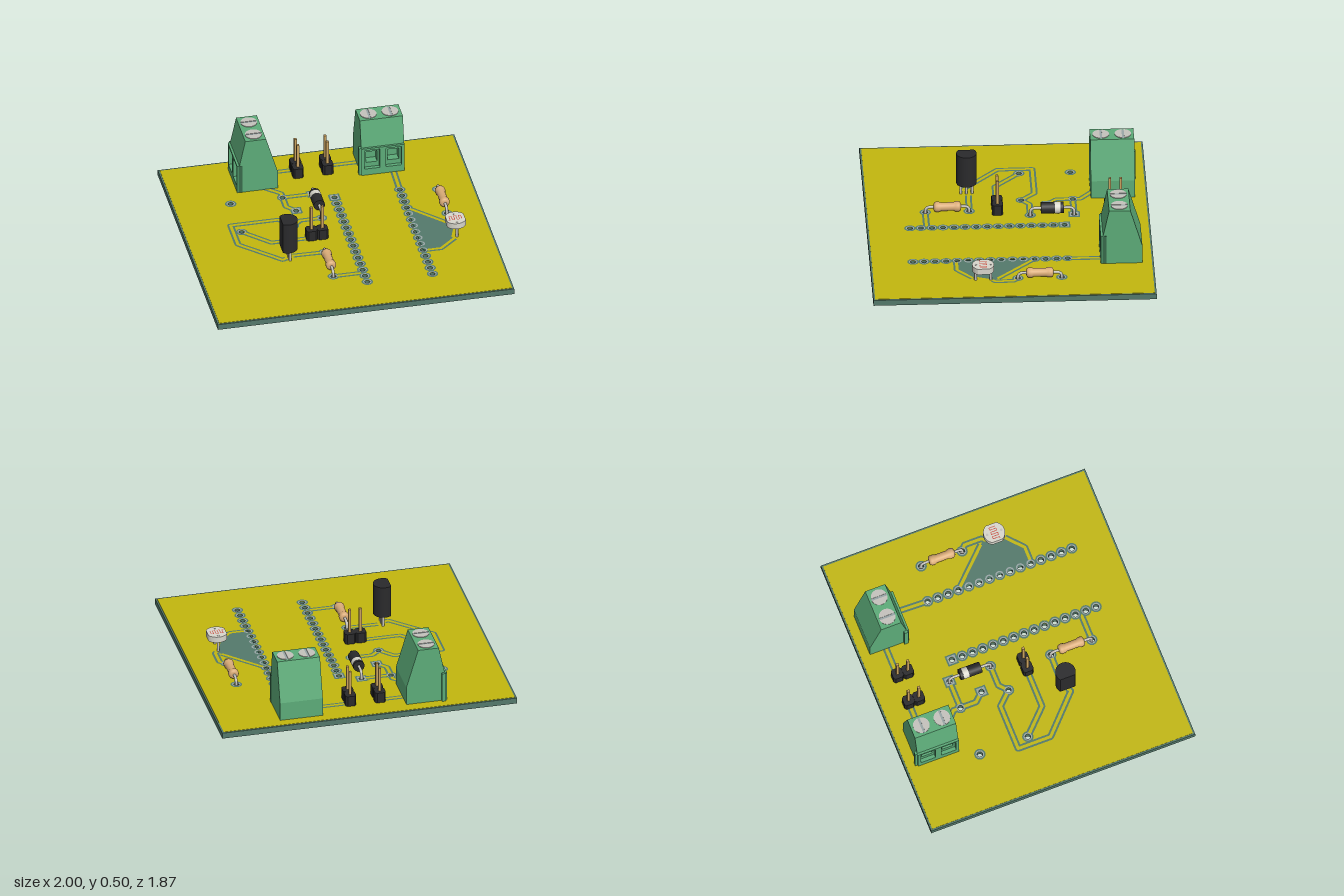
import * as THREE from 'three';

const C = { board: 0x54796b, copper: 0xc2b70e, pad: 0x98a5a6, green: 0x5cab78, darkGreen: 0x37694a,
  black: 0x2a2a2c, metal: 0xc4c2bc, tan: 0xd9ab78, gold: 0xc9a25e, white: 0xd8d6cc, red: 0xc9564a };
const mats = {};
const mat = (c) => (mats[c] ??= new THREE.MeshStandardMaterial({ color: C[c], side: THREE.DoubleSide }));
const V = (x, y, z) => new THREE.Vector3(x, y, z);

export function createModel() {
  const root = new THREE.Group();

  function add(parent, name, geo, color, x = 0, y = 0, z = 0) {
    const m = new THREE.Mesh(geo, mat(color));
    m.name = name;
    m.position.set(x, y, z);
    parent.add(m);
    return m;
  }
  function group(name, x = 0, y = 0, z = 0, parent = root) {
    const g = new THREE.Group();
    g.name = name;
    g.position.set(x, y, z);
    parent.add(g);
    return g;
  }
  // plan outline raised into a slab; shape y is -z
  const slab = (shape, h, seg = 12) =>
    new THREE.ExtrudeGeometry(shape, { depth: h, bevelEnabled: false, curveSegments: seg }).rotateX(-Math.PI / 2);
  const polygon = (pts) => new THREE.Shape(pts.map(([x, y]) => new THREE.Vector2(x, y)));
  const rect = (x0, y0, x1, y1) => polygon([[x0, y0], [x1, y0], [x1, y1], [x0, y1]]);
  const hole = (shape, x, z, r) => shape.holes.push(new THREE.Path().absarc(x, -z, r, 0, Math.PI * 2, true));

  // flat strip following points, cut short at both ends by trim
  function strip(parent, name, pts, w, y, color, trim = 0) {
    const p = pts.map(([x, z]) => new THREE.Vector2(x, z));
    const n = p.length - 1;
    const dir = (a, b) => b.clone().sub(a).setLength(trim);
    const start = p[0].clone().add(dir(p[0], p[1]));
    const end = p[n].clone().add(dir(p[n], p[n - 1]));
    p[0] = start;
    p[n] = end;
    for (let i = 0; i < n; i++) {
      const d = p[i + 1].clone().sub(p[i]);
      const geo = new THREE.PlaneGeometry(d.length(), w).rotateX(-Math.PI / 2).rotateY(-d.angle());
      add(parent, name, geo, color, (p[i].x + p[i + 1].x) / 2, y, (p[i].y + p[i + 1].y) / 2);
      if (i) add(parent, name, new THREE.CircleGeometry(w / 2, 10).rotateX(-Math.PI / 2), color, p[i].x, y, p[i].y);
    }
  }

  // pad positions: x, z, square
  const pads = [[-0.615, -0.44], [-0.615, -0.1], [-0.265, -0.44], [-0.265, -0.1], [-0.21, -0.27, true],
    [-0.065, -0.44, true], [-0.065, -0.15], [-0.135, 0.25], [-0.135, 0.54], [0.755, -0.32], [0.755, -0.03]];
  for (let i = 0; i < 15; i++) {
    const z = -0.37 + i * 0.0729;
    pads.push([0.07, z, i === 0], [0.51, z]);
  }

  // board and its copper face, both drilled
  const boardShape = rect(-1, -0.935, 1, 0.935);
  const copperShape = rect(-0.988, -0.923, 0.988, 0.923);
  for (const [x, z] of pads) {
    hole(boardShape, x, z, 0.018);
    hole(copperShape, x, z, 0.018);
  }
  add(root, 'board', slab(boardShape, 0.04), 'board', 0, 0.06, 0);
  add(root, 'copperFace', slab(copperShape, 0.002), 'copper', 0, 0.1, 0);

  // bare area beside the right-hand pin row
  const bare = polygon([[0.51, 0.15], [0.77, -0.12], [0.72, -0.26], [0.63, -0.365], [0.51, -0.365]]);
  for (let i = 3; i < 11; i++) hole(bare, 0.51, -0.37 + i * 0.0729, 0.018);
  add(root, 'bareArea', new THREE.ShapeGeometry(bare).rotateX(-Math.PI / 2), 'board', 0, 0.1025, 0);

  // traces with their clearance lines
  const traces = group('traces');
  [
    [[-0.42, -0.745], [-0.112, -0.745]],
    [[0.088, -0.745], [0.37, -0.745]],
    [[-0.42, -0.63], [-0.265, -0.49], [-0.265, -0.44]],
    [[-0.265, -0.44], [-0.065, -0.44]],
    [[-0.265, -0.44], [-0.265, -0.33], [-0.21, -0.27]],
    [[-0.065, -0.15], [-0.21, -0.15], [-0.265, -0.1]],
    [[-0.37, 0.257], [-0.42, 0.28], [-0.67, 0.04], [-0.67, -0.19], [-0.35, -0.19], [-0.265, -0.1]],
    [[-0.615, -0.1], [-0.45, 0.065], [-0.18, 0.065]],
    [[-0.37, 0.245], [-0.135, 0.25]],
    [[-0.135, 0.54], [0.07, 0.54]],
    [[0.52, -0.705], [0.51, -0.37]],
    [[0.755, -0.03], [0.79, 0], [0.79, 0.12], [0.76, 0.155]],
    [[0.76, 0.25], [0.63, 0.365], [0.51, 0.365]],
    [[0.51, -0.15], [0.77, 0.12]],
  ].forEach((pts) => {
    strip(traces, 'clearance', pts, 0.046, 0.1027, 'board', 0.026);
    strip(traces, 'trace', pts, 0.02, 0.1034, 'copper', 0.026);
  });

  // solder pads
  const padGroup = group('pads');
  for (const [x, z, square] of pads) {
    for (const [name, r, y, color] of [['padGap', 0.038, 0.103, 'board'], ['pad', 0.028, 0.104, 'pad']]) {
      const s = square ? rect(-r, -r, r, r) : new THREE.Shape().absarc(0, 0, r, 0, Math.PI * 2);
      hole(s, 0, 0, 0.018);
      add(padGroup, name, new THREE.ShapeGeometry(s, 8).rotateX(-Math.PI / 2), color, x, y, z);
    }
  }

  // screw terminal: front faces local +z
  function terminal(x, z, turn) {
    const g = group('screwTerminal', x, 0, z);
    g.rotation.y = turn;
    const w = 0.29;
    const side = polygon([[-0.08, 0.1], [-0.08, 0.31], [-0.015, 0.31], [-0.055, 0.5], [-0.195, 0.5], [-0.275, 0.23], [-0.275, 0.1]]);
    const body = new THREE.ExtrudeGeometry(side, { depth: w, bevelEnabled: false }).rotateY(-Math.PI / 2);
    add(g, 'terminalBody', body, 'green', w / 2, 0, 0);
    const frame = (hw, y0, y1) => {
      const s = rect(-w / 2, 0.1, w / 2, 0.31);
      for (const c of [-0.073, 0.073]) s.holes.push(rect(c - hw, y0, c + hw, y1));
      return s;
    };
    const deep = (s, d) => new THREE.ExtrudeGeometry(s, { depth: d, bevelEnabled: false });
    add(g, 'wireMouth', deep(frame(0.052, 0.15, 0.295), 0.025), 'green', 0, 0, -0.025);
    add(g, 'wireTunnel', deep(frame(0.038, 0.185, 0.268), 0.055), 'green', 0, 0, -0.08);
    add(g, 'sideRib', new THREE.BoxGeometry(0.016, 0.21, 0.026), 'green', -w / 2 - 0.008, 0.205, -0.023);
    add(g, 'sideGroove', new THREE.BoxGeometry(0.002, 0.21, 0.026), 'darkGreen', w / 2, 0.205, -0.023);
    for (const sx of [-0.073, 0.073]) {
      // slotted screw head made of two half discs over a darker floor
      add(g, 'screwFloor', new THREE.CylinderGeometry(0.055, 0.055, 0.002, 24), 'pad', sx, 0.5, -0.125);
      for (const s of [0, Math.PI]) {
        const half = new THREE.Shape().absarc(0, 0, 0.055, 0.14 - Math.PI / 2, Math.PI / 2 - 0.14);
        const m = add(g, 'screwHead', slab(half, 0.004), 'metal', sx, 0.5, -0.125);
        m.rotation.y = s;
      }
      add(g, 'terminalPin', new THREE.CylinderGeometry(0.014, 0.014, 0.11, 12), 'metal', sx, 0.055, -0.125);
    }
  }
  terminal(-0.545, -0.705, -Math.PI / 2);
  terminal(0.445, -0.585, 0);

  // two-way pin headers
  const c = 0.036, k = 0.024;
  const octagon = polygon([[c, -k], [c, k], [k, c], [-k, c], [-c, k], [-c, -k], [-k, -c], [k, -c]]);
  for (const [x, z, dx, dz] of [[-0.112, -0.713, 0, 1], [0.088, -0.713, 0, 1], [-0.144, 0.065, 1, 0]]) {
    const g = group('pinHeader', x, 0, z);
    for (const s of [-0.0364, 0.0364]) {
      add(g, 'headerHousing', slab(octagon, 0.075), 'black', s * dx, 0.1, s * dz);
      add(g, 'headerPin', new THREE.BoxGeometry(0.018, 0.325, 0.018), 'gold', s * dx, 0.1825, s * dz);
    }
  }

  // bent lead running along z and turning down through the board at both ends
  function lead(g, half, y, r = 0.01) {
    const b = 0.035;
    const path = new THREE.CurvePath();
    path.add(new THREE.LineCurve3(V(0, 0.02, -half), V(0, y - b, -half)));
    path.add(new THREE.QuadraticBezierCurve3(V(0, y - b, -half), V(0, y, -half), V(0, y, b - half)));
    path.add(new THREE.LineCurve3(V(0, y, b - half), V(0, y, half - b)));
    path.add(new THREE.QuadraticBezierCurve3(V(0, y, half - b), V(0, y, half), V(0, y - b, half)));
    path.add(new THREE.LineCurve3(V(0, y - b, half), V(0, 0.02, half)));
    add(g, 'lead', new THREE.TubeGeometry(path, 60, r, 8), 'metal');
  }

  // resistors with swollen ends
  const halfProfile = [[0, 0.09], [0.018, 0.09], [0.029, 0.085], [0.034, 0.074], [0.034, 0.056], [0.028, 0.04]];
  const profile = [...halfProfile.map(([r, y]) => [r, -y]), ...halfProfile.slice().reverse()];
  for (const [x, z] of [[-0.135, 0.395], [0.755, -0.175]]) {
    const g = group('resistor', x, 0, z);
    const pts = profile.map(([r, y]) => new THREE.Vector2(r, y));
    add(g, 'resistorBody', new THREE.LatheGeometry(pts, 24).rotateX(Math.PI / 2), 'tan', 0, 0.143, 0);
    lead(g, 0.145, 0.143);
  }

  // diode
  const diode = group('diode', -0.065, 0, -0.295);
  const rod = (r, len) => new THREE.CylinderGeometry(r, r, len, 24).rotateX(Math.PI / 2);
  add(diode, 'diodeBody', rod(0.038, 0.15), 'black', 0, 0.157, 0);
  add(diode, 'diodeBand', rod(0.0388, 0.038), 'white', 0, 0.157, -0.035);
  lead(diode, 0.145, 0.157);

  // transistor with one flat side
  const transistor = group('transistor', -0.383, 0, 0.257);
  const a = Math.acos(-0.042 / 0.067);
  add(transistor, 'transistorBody', slab(new THREE.Shape().absarc(0, 0, 0.067, -a, a), 0.225, 32), 'black', 0, 0.178, 0);
  for (const z of [-0.037, 0, 0.037])
    add(transistor, 'transistorLeg', new THREE.BoxGeometry(0.016, 0.17, 0.016), 'metal', 0.01, 0.105, z);

  // light sensor: flat-sided disc with a winding track
  const sensor = group('lightSensor', 0.762, 0, 0.2);
  const e = Math.acos(0.0625 / 0.0725);
  const disc = new THREE.Shape().absarc(0, 0, 0.0725, e, Math.PI - e).absarc(0, 0, 0.0725, Math.PI + e, Math.PI * 2 - e);
  add(sensor, 'sensorDisc', slab(disc, 0.042, 16), 'white', 0, 0.175, 0);
  const track = [[-0.052, 0.022]];
  for (let i = 0; i < 6; i++) {
    const s = i % 2 ? 0.022 : -0.022, x = -0.04 + i * 0.016;
    track.push([x, -s], [x, s]);
  }
  strip(sensor, 'sensorTrack', track, 0.005, 0.218, 'red');
  for (const z of [-0.05, 0.05])
    add(sensor, 'sensorLeg', new THREE.CylinderGeometry(0.009, 0.009, 0.2, 10), 'metal', 0, 0.119, z);

  return root;
}
